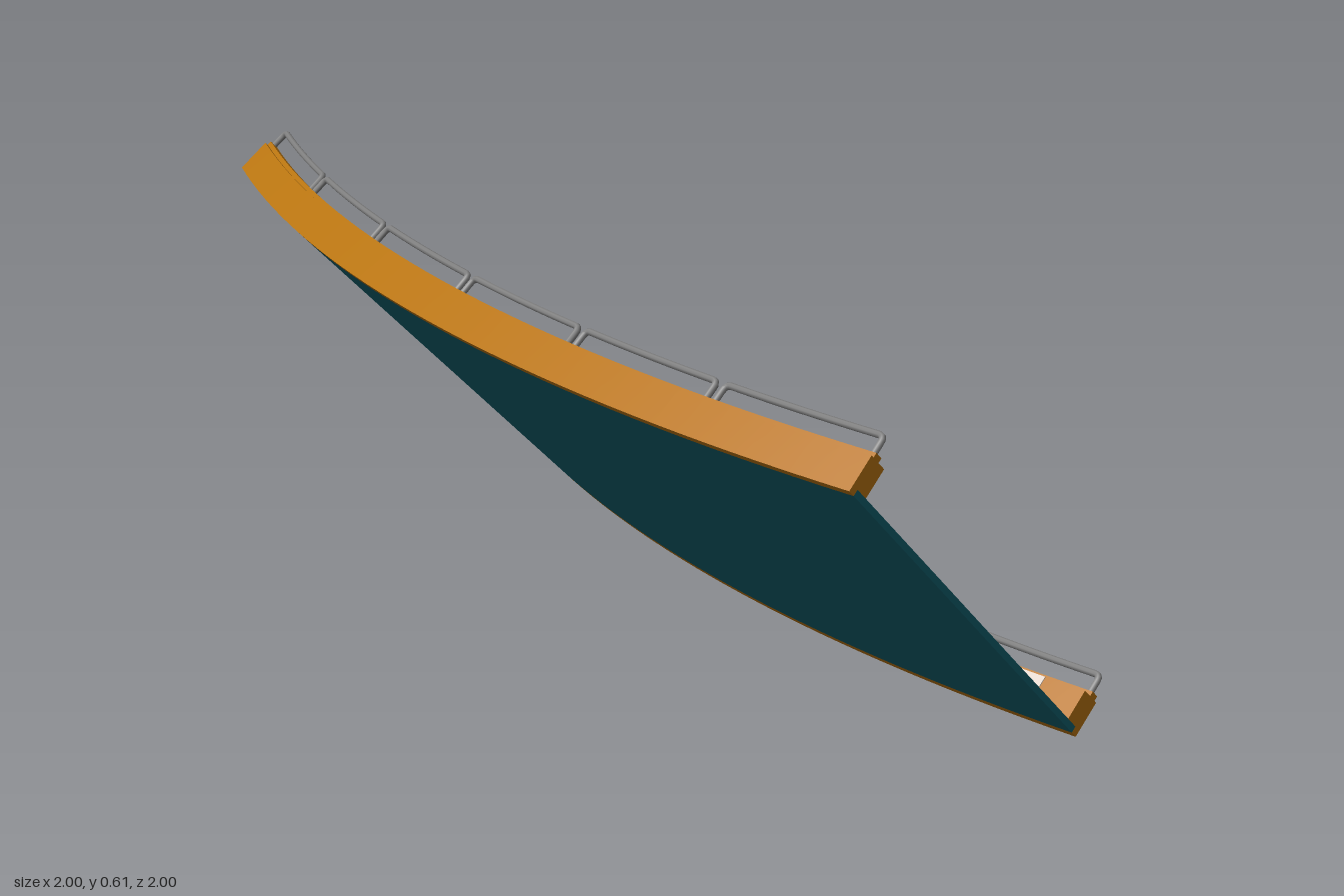
import * as THREE from 'three';

const C = 3.02;                 // arc centre at (C, -C)
const R0 = 4.10;                // radius of the low edge
const L = 0.764;                // deck width along the 45 degree bank
const A0 = Math.PI / 6, A1 = Math.PI / 3;
const H = 0.068, T = 0.04, D = 0.012; // curb height, curb width, deck thickness

const mat = (color) => new THREE.MeshStandardMaterial({ color, side: THREE.DoubleSide });
const teal = mat(0x10606e), orange = mat(0xb87410), pale = mat(0xe0d2c8), steel = mat(0x808080);

// Bank coordinates: u up the slope, v off the deck, a around the arc
function place(u, v, a) {
  const r = R0 + (u - v) * Math.SQRT1_2;
  return new THREE.Vector3(C - r * Math.cos(a), (u + v) * Math.SQRT1_2, -C + r * Math.sin(a));
}

// Sweep a counter-clockwise (u, v) outline around the arc, sharp at its corners
function sweep(outline, a0, a1, segments) {
  const pos = [], idx = [];
  const add = (p, a) => pos.push(...place(p[0], p[1], a).toArray());
  outline.forEach((p, i) => {
    const q = outline[(i + 1) % outline.length], base = pos.length / 3;
    for (let s = 0; s <= segments; s++) {
      const a = a0 + (a1 - a0) * s / segments;
      add(p, a);
      add(q, a);
      if (s < segments) {
        const k = base + s * 2;
        idx.push(k, k + 2, k + 3, k, k + 3, k + 1);
      }
    }
  });
  // End caps
  const tris = THREE.ShapeUtils.triangulateShape(outline.map(p => new THREE.Vector2(...p)), []);
  [a0, a1].forEach((a, end) => {
    const base = pos.length / 3;
    outline.forEach(p => add(p, a));
    tris.forEach(([i, j, k]) => idx.push(base + i, base + (end ? k : j), base + (end ? j : k)));
  });
  const geo = new THREE.BufferGeometry();
  geo.setAttribute('position', new THREE.Float32BufferAttribute(pos, 3));
  geo.setIndex(idx);
  geo.computeVertexNormals();
  return geo;
}

function mesh(name, geo, material) {
  const m = new THREE.Mesh(geo, material);
  m.name = name;
  return m;
}

const rect = (u0, u1, v0, v1) => [[u0, v0], [u1, v0], [u1, v1], [u0, v1]];

// One edge of the track: curb, ridge, warning stripes and guard rail
function edge(name, upper) {
  const g = new THREE.Group();
  g.name = name;
  // w is measured inward from the outer side of the curb
  const side = (pts) => upper ? pts.map(([w, v]) => [L - w, v]).reverse() : pts;

  const curb = [[0, 0], [0.014, 0], [0.014, D], [T, D], [T, H], [0, H]];
  g.add(mesh('curb', sweep(side(curb), A0, A1, 36), orange));
  g.add(mesh('curbRidge', sweep(side(rect(0.006, 0.022, H - 0.002, H + 0.009)), A0, A1, 36), orange));

  // Pale panels on every other stretch of the inner wall
  const count = 24, step = (A1 - A0) / count;
  for (let i = 0; i < count; i += 2) {
    const a = A0 + i * step;
    g.add(mesh('stripe', sweep(side(rect(T - 0.004, T + 0.0015, D, H - 0.0005)), a, a + step, 2), pale));
  }

  // Six rounded hoops
  const hoops = 6, span = (A1 - A0) / hoops, inset = 0.0025, c = 0.012, ca = c / 4.3;
  const u = upper ? L - 0.014 : 0.014, top = H + 0.043;
  for (let i = 0; i < hoops; i++) {
    const a = A0 + i * span + inset, b = A0 + (i + 1) * span - inset;
    const path = new THREE.CurvePath();
    const line = (p, q) => path.add(new THREE.LineCurve3(p, q));
    const bend = (p, q, r) => path.add(new THREE.QuadraticBezierCurve3(p, q, r));
    const at = (v, ang) => place(u, v, ang);
    line(at(H - 0.002, a), at(top - c, a));
    bend(at(top - c, a), at(top, a), at(top, a + ca));
    bend(at(top, a + ca), at(top, (a + b) / 2).multiplyScalar(2)
      .sub(at(top, a + ca).add(at(top, b - ca)).multiplyScalar(0.5)), at(top, b - ca));
    bend(at(top, b - ca), at(top, b), at(top - c, b));
    line(at(top - c, b), at(H - 0.002, b));
    g.add(mesh('railHoop', new THREE.TubeGeometry(path, 72, 0.006, 8), steel));
  }
  return g;
}

export function createModel() {
  const model = new THREE.Group();
  model.name = 'bankedTrackCurve';
  model.add(mesh('deck', sweep(rect(0.014, L - 0.014, 0, D), A0, A1, 36), teal));
  model.add(edge('lowerEdge', false), edge('upperEdge', true));
  return model;
}
